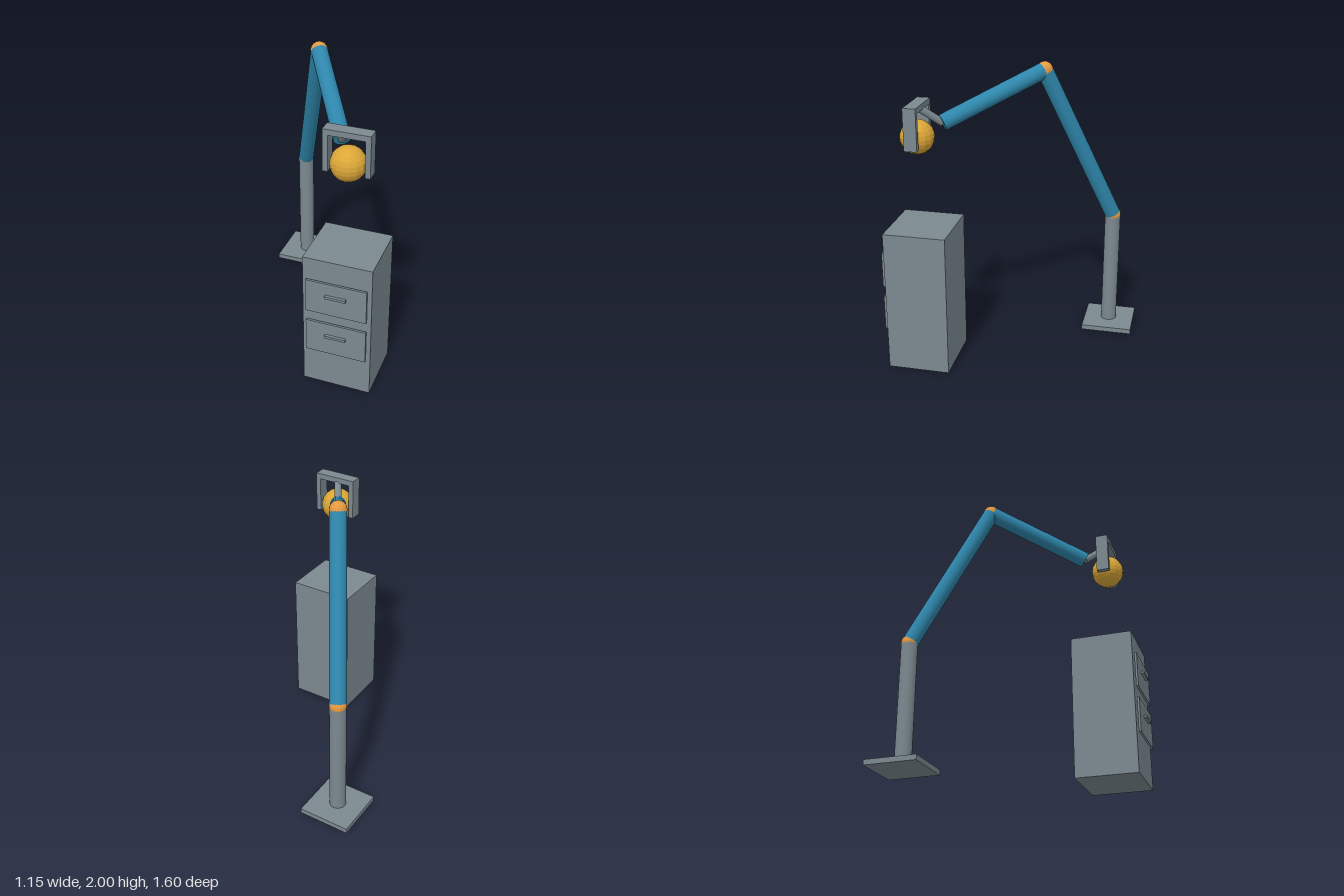
import * as THREE from 'three';

const flat = (name, color) => {
  const m = new THREE.MeshStandardMaterial({ color });
  m.name = name;
  return m;
};

export function createModel() {
  const grey = flat('steel grey', 0x7b898f);
  const blue = flat('arm blue', 0x2e86ab);
  const orange = flat('joint orange', 0xe39a42);
  const gold = flat('ball gold', 0xdba738);
  const model = new THREE.Group();
  model.name = 'robotArmAndCabinet';

  const add = (name, geometry, material, parent = model) => {
    const mesh = new THREE.Mesh(geometry, material);
    mesh.name = name;
    parent.add(mesh);
    return mesh;
  };
  // Box given by its minimum and maximum corners
  const box = (name, [x0, y0, z0], [x1, y1, z1], material, parent) => {
    const g = new THREE.BoxGeometry(x1 - x0, y1 - y0, z1 - z0);
    g.translate((x0 + x1) / 2, (y0 + y1) / 2, (z0 + z1) / 2);
    return add(name, g, material, parent);
  };
  // Round bar between two points
  const bar = (name, a, b, radius, material, parent) => {
    const dir = b.clone().sub(a);
    const mesh = add(name, new THREE.CylinderGeometry(radius, radius, dir.length(), 24), material, parent);
    mesh.position.copy(a).lerp(b, 0.5);
    mesh.quaternion.setFromUnitVectors(new THREE.Vector3(0, 1, 0), dir.normalize());
    return mesh;
  };
  // Faceted ball
  const ball = (name, center, radius, material, parent) => {
    const g = new THREE.SphereGeometry(radius, 16, 12).toNonIndexed();
    g.computeVertexNormals();
    const mesh = add(name, g, material, parent);
    mesh.position.copy(center);
    return mesh;
  };

  const foot = new THREE.Vector3(-0.398, 0.035, -0.62);
  const shoulder = new THREE.Vector3(-0.398, 0.86, -0.62);
  const elbow = new THREE.Vector3(-0.115, 1.943, -0.165);
  const wrist = new THREE.Vector3(0.255, 1.653, 0.427);
  const grip = new THREE.Vector3(0.345, 1.775, 0.568);

  // Stand and jointed arm
  const arm = new THREE.Group();
  arm.name = 'arm';
  model.add(arm);
  box('basePlate', [-0.575, 0, -0.8], [-0.22, 0.035, -0.445], grey, arm);
  bar('column', foot, shoulder, 0.055, grey, arm);
  bar('upperArm', shoulder, elbow, 0.055, blue, arm);
  bar('forearm', elbow, wrist, 0.055, blue, arm);
  bar('wristRod', wrist, grip, 0.025, grey, arm);
  ball('shoulderJoint', shoulder, 0.057, orange, arm);
  ball('elbowJoint', elbow, 0.057, orange, arm);

  // Gripper with two fingers around the ball
  const gripper = new THREE.Group();
  gripper.name = 'gripper';
  model.add(gripper);
  box('gripperBar', [0.195, 1.76, 0.525], [0.495, 1.798, 0.611], grey, gripper);
  for (const x of [0.195, 0.461]) {
    box('finger', [x, 1.52, 0.525], [x + 0.034, 1.762, 0.611], grey, gripper);
  }
  ball('heldBall', new THREE.Vector3(0.345, 1.577, 0.57), 0.113, gold);

  // Cabinet with two drawer fronts and handles
  const cabinet = new THREE.Group();
  cabinet.name = 'cabinet';
  model.add(cabinet);
  box('cabinetBody', [0.118, 0, 0.34], [0.573, 0.975, 0.757], grey, cabinet);
  for (const y of [0.275, 0.588]) {
    box('drawerFront', [0.145, y, 0.766], [0.546, y + 0.238, 0.781], grey, cabinet);
    box('drawerHandle', [0.276, y + 0.136, 0.781], [0.414, y + 0.154, 0.8], grey, cabinet);
  }
  return model;
}
